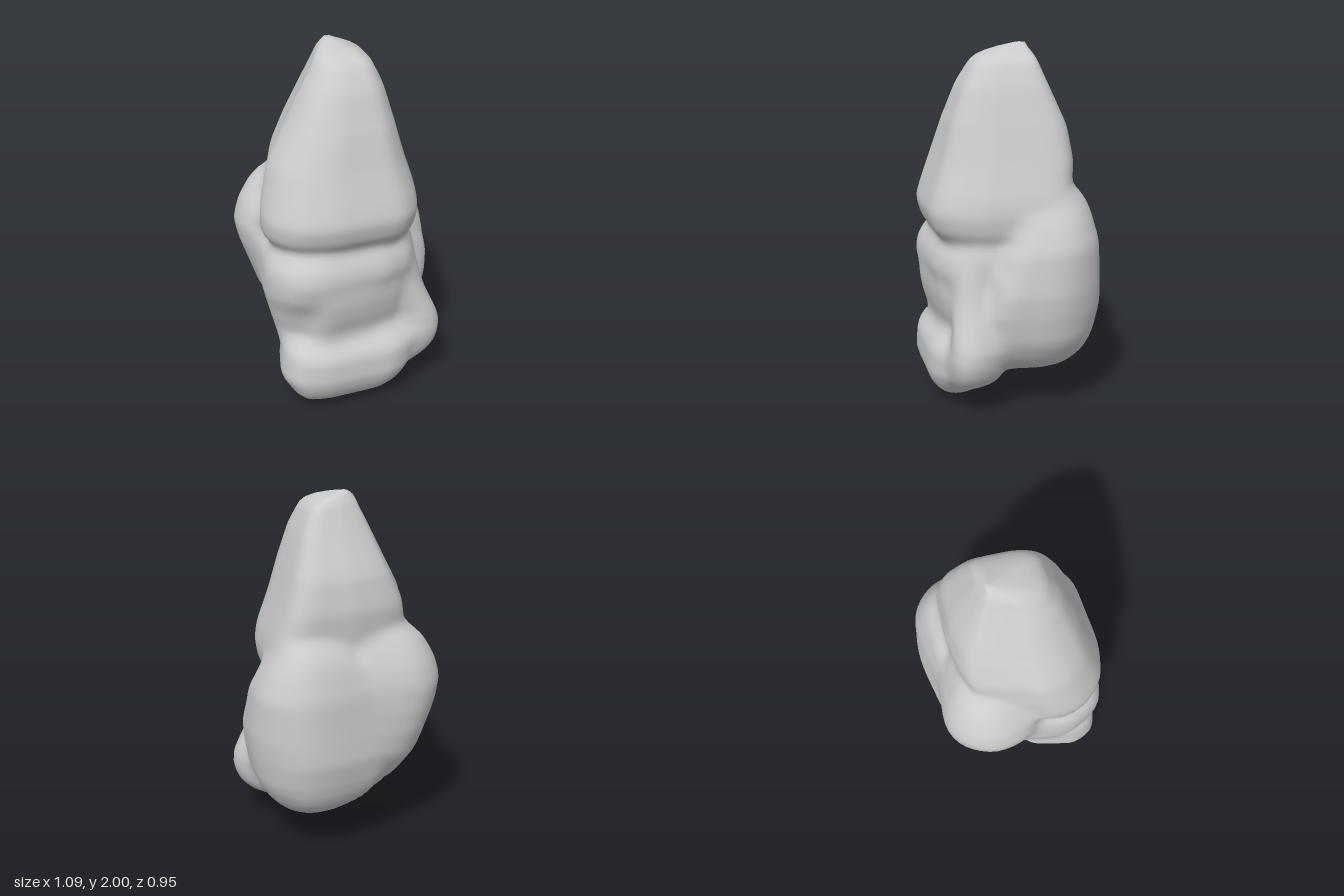
import * as THREE from 'three';

const SIDES = 84, RINGS = 90, BLUR_PASSES = 2;

// Bulge of the rock: an (x, z) outline fitted at each level [y, xMin, xMax, zMin, zMax], top to bottom
function bulge(outline, levels) {
  const box = new THREE.Box2().setFromPoints(outline.map(p => new THREE.Vector2(...p)));
  const size = box.getSize(new THREE.Vector2());
  const unit = [...outline, outline[0]].map(([x, z]) => [(x - box.min.x) / size.x, (z - box.min.y) / size.y]);
  return { unit, levels };
}

// Values of a table [y, ...] (descending y) at height y, or null outside it
function sample(table, y) {
  for (let i = 0; i < table.length - 1; i++) {
    const a = table[i], b = table[i + 1];
    if (y <= a[0] && y >= b[0]) {
      const t = (a[0] - y) / (a[0] - b[0]);
      return a.map((v, k) => v + (b[k] - v) * t);
    }
  }
  return null;
}

// Cross-section of a bulge at height y
function section({ unit, levels }, y) {
  const s = sample(levels, y);
  return s ? unit.map(([u, v]) => [s[1] + (s[2] - s[1]) * u, s[3] + (s[4] - s[3]) * v]) : [];
}

// Farthest distance at which a ray from (ox, oz) leaves a cross-section
function exitDistance(poly, ox, oz, dx, dz) {
  let far = 0;
  for (let i = 0; i < poly.length - 1; i++) {
    const px = poly[i][0] - ox, pz = poly[i][1] - oz;
    const ex = poly[i + 1][0] - poly[i][0], ez = poly[i + 1][1] - poly[i][1];
    const den = dx * ez - dz * ex;
    if (Math.abs(den) < 1e-9) continue;
    const t = (px * ez - pz * ex) / den, s = (px * dz - pz * dx) / den;
    if (s >= 0 && s <= 1 && t > far) far = t;
  }
  return far;
}

// Tapering peak
const peak = bulge(
  [[-0.4, -0.14], [-0.33, -0.29], [-0.2, -0.33], [0, -0.35], [0.31, -0.32], [0.39, -0.27], [0.41, -0.2],
    [0.4, -0.05], [0.37, 0.2], [0.31, 0.36], [0.2, 0.46], [-0.2, 0.47], [-0.39, 0.41], [-0.49, 0.27],
    [-0.51, 0.1], [-0.46, 0.02]],
  [[2.0, -0.05, -0.01, -0.12, -0.07], [1.975, -0.12, 0.07, -0.145, 0.05], [1.94, -0.145, 0.15, -0.155, 0.17],
    [1.79, -0.235, 0.225, -0.22, 0.26], [1.58, -0.345, 0.295, -0.315, 0.335], [1.4, -0.445, 0.35, -0.345, 0.385],
    [1.22, -0.495, 0.405, -0.33, 0.445], [1.13, -0.515, 0.415, -0.3, 0.47], [1.02, -0.505, 0.4, -0.28, 0.44],
    [0.97, -0.45, 0.36, -0.24, 0.39], [0.9, -0.3, 0.25, -0.15, 0.25]]);

// Upper block below the ledge, its front slanting back towards the left
const upperBlock = bulge(
  [[-0.51, 0.25], [-0.43, 0.42], [-0.28, 0.465], [0.1, 0.44], [0.26, 0.38], [0.33, 0.27], [0.36, 0.1], [0.36, -0.2],
    [-0.4, -0.2], [-0.48, 0.05]],
  [[1.04, -0.36, 0.34, -0.2, 0.33], [0.96, -0.45, 0.36, -0.22, 0.4], [0.88, -0.505, 0.38, -0.25, 0.45],
    [0.8, -0.515, 0.38, -0.25, 0.465], [0.7, -0.515, 0.36, -0.25, 0.44], [0.6, -0.49, 0.33, -0.2, 0.38],
    [0.45, -0.45, 0.32, -0.15, 0.34], [0.3, -0.42, 0.32, -0.08, 0.36]]);

// Raised front panel between the ledge and the foot
const frontPanel = bulge(
  [[-0.29, 0.43], [-0.24, 0.46], [0, 0.44], [0.18, 0.4], [0.27, 0.34], [0.27, 0], [-0.33, 0], [-0.35, 0.33]],
  [[0.85, -0.33, 0.27, 0, 0.46], [0.65, -0.34, 0.28, 0, 0.455], [0.55, -0.34, 0.28, 0, 0.435],
    [0.48, -0.35, 0.29, 0, 0.41], [0.35, -0.36, 0.3, 0, 0.41]]);

// Foot, wedge-shaped underneath
const foot = bulge(
  [[-0.46, 0.28], [-0.41, 0.42], [-0.25, 0.47], [0.15, 0.47], [0.27, 0.42], [0.32, 0.28], [0.25, 0.05],
    [0.08, -0.08], [-0.2, -0.09], [-0.38, 0.02]],
  [[0.43, -0.42, 0.3, -0.02, 0.38], [0.38, -0.44, 0.32, -0.05, 0.44], [0.33, -0.45, 0.33, -0.07, 0.47],
    [0.2, -0.465, 0.31, -0.09, 0.475], [0.13, -0.42, 0.26, 0.02, 0.455], [0.05, -0.37, 0.19, 0.13, 0.405],
    [0.025, -0.27, 0.06, 0.2, 0.35], [0, -0.17, -0.09, 0.24, 0.3]]);

// Small knob at the front corner, rising into a ridge
const cornerKnob = bulge(
  [[0.5, 0.29], [0.48, 0.36], [0.41, 0.4], [0.3, 0.38], [0.2, 0.28], [0.2, 0.1], [0.35, 0.06], [0.45, 0.16]],
  [[0.85, 0.1, 0.35, 0, 0.34], [0.65, 0.1, 0.4, 0, 0.365], [0.55, 0.15, 0.44, 0, 0.38],
    [0.43, 0.2, 0.495, 0.03, 0.4], [0.34, 0.2, 0.505, 0.05, 0.405], [0.25, 0.2, 0.475, 0.06, 0.395],
    [0.18, 0.2, 0.41, 0.1, 0.37], [0.15, 0.2, 0.33, 0.16, 0.33]]);

// Large lobe on the left and back
const largeLobe = bulge(
  [[0.41, -0.42], [0.48, -0.34], [0.53, -0.25], [0.55, -0.14], [0.5, 0.14], [0.42, 0.19], [0.2, 0.15],
    [-0.1, 0.05], [-0.21, -0.25], [-0.14, -0.43], [0.16, -0.47], [0.31, -0.47]],
  [[1.26, 0.1, 0.37, -0.33, -0.12], [1.18, 0, 0.42, -0.39, -0.05], [1.1, -0.06, 0.47, -0.42, 0],
    [0.96, -0.12, 0.53, -0.455, 0.07], [0.72, -0.19, 0.55, -0.47, 0.17], [0.6, -0.22, 0.54, -0.475, 0.19],
    [0.45, -0.2, 0.515, -0.445, 0.16], [0.33, -0.12, 0.45, -0.4, 0.12], [0.24, 0, 0.36, -0.3, 0.04],
    [0.21, 0.05, 0.26, -0.22, 0]]);

// Smaller lobe on the right and back
const smallLobe = bulge(
  [[-0.55, -0.25], [-0.47, -0.39], [-0.38, -0.45], [-0.3, -0.465], [-0.1, -0.435], [0.02, -0.41], [0.08, -0.2],
    [0, 0.06], [-0.35, 0.06], [-0.48, 0.03], [-0.54, -0.1]],
  [[1.26, -0.38, 0, -0.33, -0.1], [1.18, -0.46, 0.03, -0.385, -0.05], [1.07, -0.525, 0.07, -0.44, 0.04],
    [0.96, -0.555, 0.08, -0.465, 0.06], [0.84, -0.53, 0.08, -0.465, 0.07], [0.7, -0.48, 0.08, -0.45, 0.08],
    [0.55, -0.43, 0.08, -0.41, 0.08], [0.4, -0.32, 0.06, -0.33, 0.06], [0.3, -0.2, 0.02, -0.2, 0.02]]);

// Core line [y, x, z] that every cross-section surrounds
const core = [[2, -0.03, -0.09], [1.97, -0.025, -0.05], [1.6, 0, 0], [1, 0, 0], [0.4, 0, 0.1], [0.2, -0.05, 0.2],
  [0, -0.13, 0.27]];

// One continuous skin around all bulges, softened where they meet
function skin(bulges) {
  const direction = j => [Math.cos(j / SIDES * 2 * Math.PI), Math.sin(j / SIDES * 2 * Math.PI)];
  const rows = Array.from({ length: RINGS + 1 }, (_, i) => sample(core, 2 - 2 * i / RINGS));
  let radii = rows.map(([y, x, z]) => {
    const sections = bulges.map(b => section(b, y));
    return Array.from({ length: SIDES }, (_, j) =>
      Math.max(...sections.map(s => exitDistance(s, x, z, ...direction(j)))));
  });
  for (let pass = 0; pass < BLUR_PASSES; pass++) {
    const old = radii;
    const across = (i, j) => (old[i][(j + SIDES - 1) % SIDES] + 2 * old[i][j] + old[i][(j + 1) % SIDES]) / 4;
    radii = old.map((row, i) => (i === 0 || i === RINGS) ? row : row.map((_, j) =>
      (across(i - 1, j) + 2 * across(i, j) + across(i + 1, j)) / 4));
  }

  const pos = [], index = [];
  rows.forEach(([y, x, z], i) => {
    for (let j = 0; j < SIDES; j++) {
      const [dx, dz] = direction(j);
      pos.push(x + dx * radii[i][j], y, z + dz * radii[i][j]);
    }
  });
  for (let i = 0; i < RINGS; i++) {
    for (let j = 0; j < SIDES; j++) {
      const a = i * SIDES + j, b = i * SIDES + (j + 1) % SIDES;
      index.push(a, b, a + SIDES, b, b + SIDES, a + SIDES);
    }
  }
  // closing fans
  const last = RINGS * SIDES, top = last + SIDES;
  for (const [y, x, z] of [rows[0], rows[RINGS]]) pos.push(x, y, z);
  for (let j = 0; j < SIDES; j++) {
    const k = (j + 1) % SIDES;
    index.push(top, k, j, top + 1, last + j, last + k);
  }
  const geometry = new THREE.BufferGeometry();
  geometry.setAttribute('position', new THREE.Float32BufferAttribute(pos, 3));
  geometry.setIndex(index);
  geometry.computeVertexNormals();
  return geometry;
}

export function createModel() {
  const group = new THREE.Group();
  group.name = 'rock';
  const mesh = new THREE.Mesh(
    skin([peak, upperBlock, frontPanel, foot, cornerKnob, largeLobe, smallLobe]),
    new THREE.MeshStandardMaterial({ color: 0xcccccc }));
  mesh.name = 'rockSurface';
  group.add(mesh);
  return group;
}
